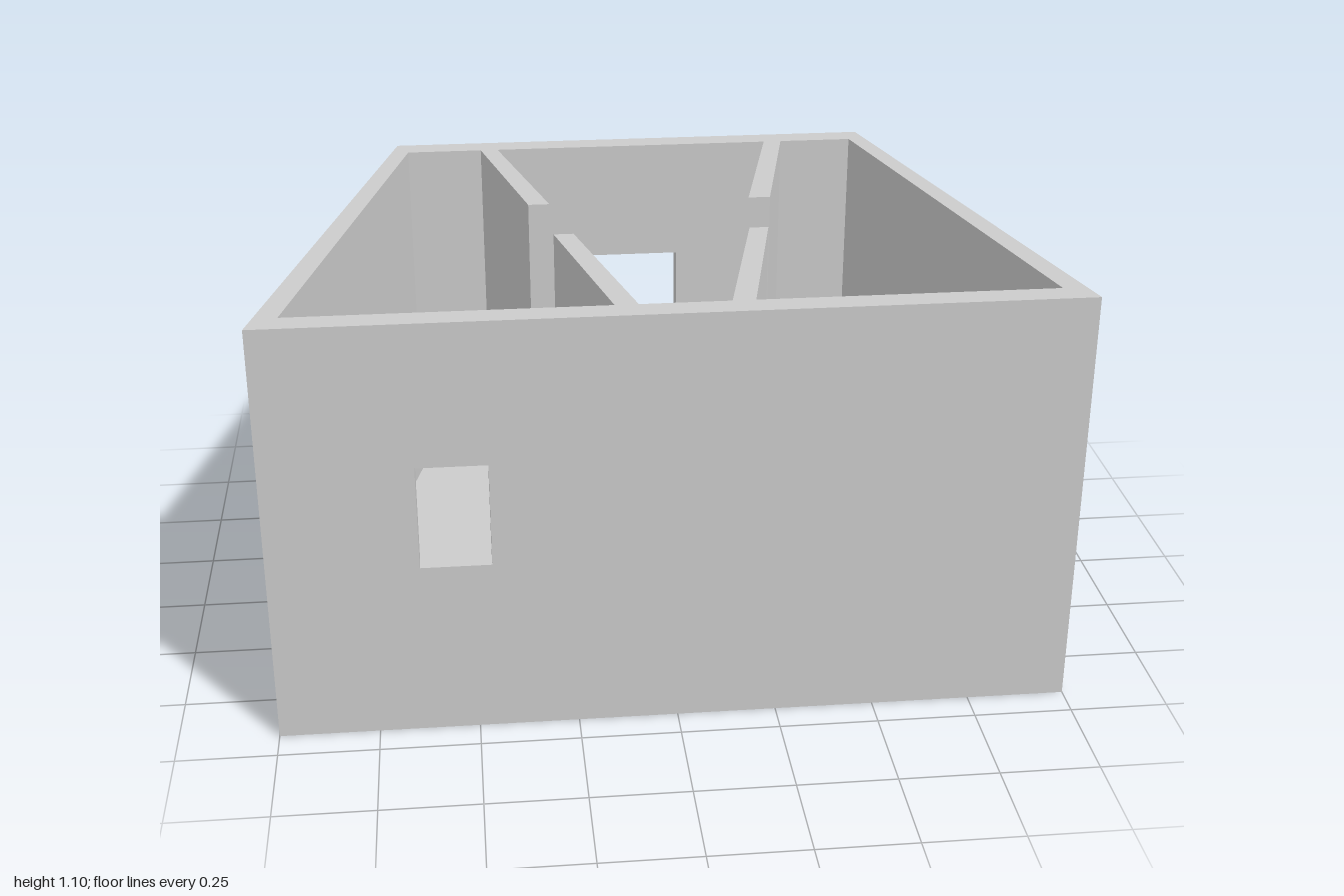
import * as THREE from 'three';

const SLAB = 0.104, TOP = 1.1; // floor level and wall top
const material = new THREE.MeshStandardMaterial({ color: 0xcccccc, flatShading: true });

function polygon(points) {
  return new THREE.Shape(points.map(([x, y]) => new THREE.Vector2(x, y)));
}

function addMesh(group, name, geometry) {
  const mesh = new THREE.Mesh(geometry, material);
  mesh.name = name;
  group.add(mesh);
}

// Upright prism from a floor plan given as [x, z] corners
function prism(plan, y0, y1) {
  const shape = polygon(plan.map(([x, z]) => [x, -z]));
  const geometry = new THREE.ExtrudeGeometry(shape, { depth: y1 - y0, bevelEnabled: false });
  return geometry.rotateX(-Math.PI / 2).translate(0, y0, 0);
}

// Wall drawn in elevation, with its ends mitred from half width hw0 (at z0) to hw1 (at z1)
function mitredWall(shape, z0, z1, hw0, hw1) {
  const geometry = new THREE.ExtrudeGeometry(shape, { depth: z1 - z0, bevelEnabled: false });
  geometry.translate(0, 0, z0);
  const pos = geometry.attributes.position;
  for (let i = 0; i < pos.count; i++) {
    const x = pos.getX(i);
    if (Math.abs(Math.abs(x) - hw0) > 1e-4) continue;
    const atEnd = Math.abs(pos.getZ(i) - z1) < 1e-4;
    pos.setX(i, Math.sign(x) * (atEnd ? hw1 : hw0));
  }
  geometry.computeVertexNormals();
  return geometry;
}

export function createModel() {
  const group = new THREE.Group();
  group.name = 'house';

  // Trapezoid plan: outer and inner half widths at the front and back
  const zOut = 0.667, zIn = 0.601;
  const front = { out: 1, in: 0.925 };
  const back = { out: 0.667, in: 0.636 };

  // Floor slab
  addMesh(group, 'floorSlab', prism([
    [-front.out, zOut], [front.out, zOut], [back.out, -zOut], [-back.out, -zOut],
  ], 0, SLAB));

  // Side walls
  for (const [name, s] of [['leftWall', 1], ['rightWall', -1]]) {
    addMesh(group, name, prism([
      [s * front.out, zOut], [s * back.out, -zOut], [s * back.in, -zIn], [s * front.in, zIn],
    ], SLAB, TOP));
  }

  // Front wall with window opening
  const frontShape = polygon([[-front.in, SLAB], [front.in, SLAB], [front.in, TOP], [-front.in, TOP]]);
  frontShape.holes.push(polygon([[-0.63, 0.46], [-0.63, 0.73], [-0.455, 0.73], [-0.455, 0.46]]));
  addMesh(group, 'frontWall', mitredWall(frontShape, zIn, zOut, front.in, front.out));

  // Back wall with doorway down to the floor
  const [doorL, doorR, doorTop] = [-0.117, 0.134, 0.768];
  const backShape = polygon([
    [-back.out, SLAB], [doorL, SLAB], [doorL, doorTop], [doorR, doorTop], [doorR, SLAB],
    [back.out, SLAB], [back.out, TOP], [-back.out, TOP],
  ]);
  addMesh(group, 'backWall', mitredWall(backShape, -zOut, -zIn, back.out, back.in));

  // Slanted partitions: x range at the outer wall, x range at the free end
  const partitions = [
    ['backRightPartition', -zIn, [-0.43, -0.382], -0.12, [-0.316, -0.26]],
    ['backLeftPartition', -zIn, [0.387, 0.436], -0.12, [0.273, 0.331]],
    ['frontRightPartition', zIn, [-0.147, -0.09], 0.112, [-0.262, -0.211]],
    ['frontLeftPartition', zIn, [0.131, 0.187], 0.112, [0.242, 0.291]],
  ];
  for (const [name, zWall, wall, zFree, free] of partitions) {
    addMesh(group, name, prism([
      [wall[0], zWall], [wall[1], zWall], [free[1], zFree], [free[0], zFree],
    ], SLAB, TOP));
  }

  return group;
}
